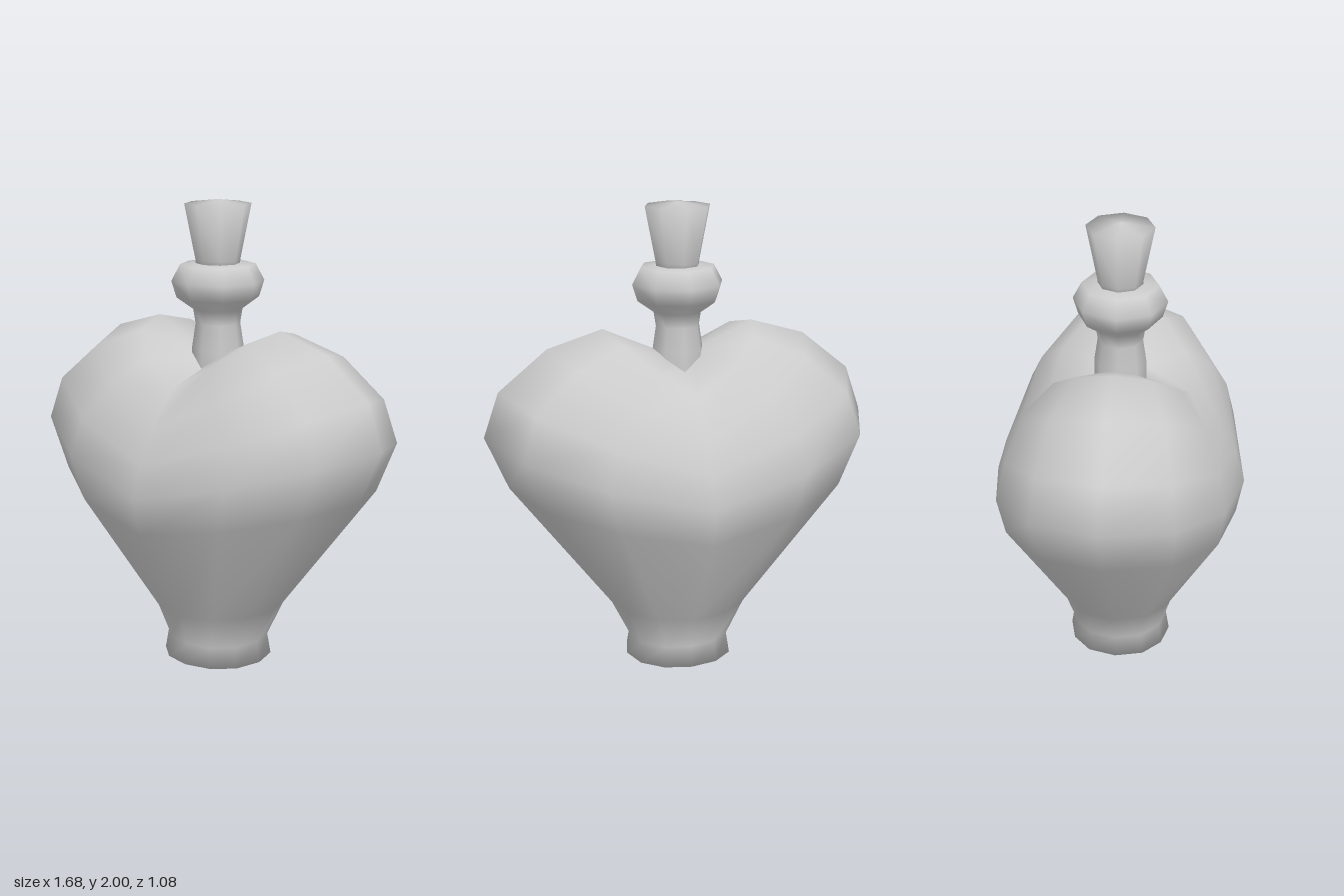
import * as THREE from 'three';

const material = new THREE.MeshStandardMaterial({ color: 0xcccccc });

// Heart-shaped body: oval rings that rise toward +x and -x to form two lobes.
// Each ring: [half width, half depth, height at the sides, height at front/back]
const RINGS = [
  [0.235, 0.225, 0, 0],
  [0.22, 0.21, 0.09, 0.09],
  [0.30, 0.255, 0.25, 0.23],
  [0.74, 0.51, 0.82, 0.66],
  [0.84, 0.54, 1.05, 0.82],
  [0.775, 0.50, 1.24, 0.96],
  [0.565, 0.43, 1.41, 1.09],
  [0.33, 0.30, 1.48, 1.24],
  [0.11, 0.10, 1.385, 1.30],
];

function heartGeometry(sides) {
  const positions = [0, 0, 0]; // centre of the base
  const index = [];
  for (const [w, d, ySide, yFront] of RINGS) {
    for (let j = 0; j < sides; j++) {
      const a = (j / sides) * Math.PI * 2;
      const c = Math.cos(a), s = Math.sin(a);
      const lift = Math.abs(c) ** 1.2;
      positions.push(w * c, yFront + (ySide - yFront) * lift, d * Math.sign(s) * Math.abs(s) ** 0.9);
    }
  }
  const top = positions.length / 3;
  positions.push(0, 1.3, 0); // closed inside the neck
  const id = (i, j) => 1 + i * sides + (j % sides);
  const last = RINGS.length - 1;
  for (let j = 0; j < sides; j++) {
    index.push(0, id(0, j), id(0, j + 1));
    for (let i = 0; i < last; i++) {
      index.push(id(i, j), id(i + 1, j), id(i, j + 1));
      index.push(id(i + 1, j), id(i + 1, j + 1), id(i, j + 1));
    }
    index.push(id(last, j), top, id(last, j + 1));
  }
  const geometry = new THREE.BufferGeometry();
  geometry.setAttribute('position', new THREE.Float32BufferAttribute(positions, 3));
  geometry.setIndex(index);
  geometry.computeVertexNormals();
  return geometry;
}

// Eight-sided turned part from [radius, height] pairs, bottom to top
function turned(profile) {
  return new THREE.LatheGeometry(profile.map(([r, y]) => new THREE.Vector2(r, y)), 8);
}

export function createModel() {
  const group = new THREE.Group();
  const add = (name, geometry) => {
    const mesh = new THREE.Mesh(geometry, material);
    mesh.name = name;
    group.add(mesh);
  };

  add('heartBody', heartGeometry(12));

  // Neck with a bulging lip
  add('neck', turned([
    [0.11, 1.27], [0.11, 1.38], [0.095, 1.48], [0.105, 1.54],
    [0.175, 1.59], [0.197, 1.66], [0.16, 1.73], [0.08, 1.735],
  ]));

  // Flared stopper with a slightly domed top
  add('stopper', turned([[0, 1.7], [0.09, 1.7], [0.095, 1.75], [0.141, 1.983], [0, 2]]));

  return group;
}
